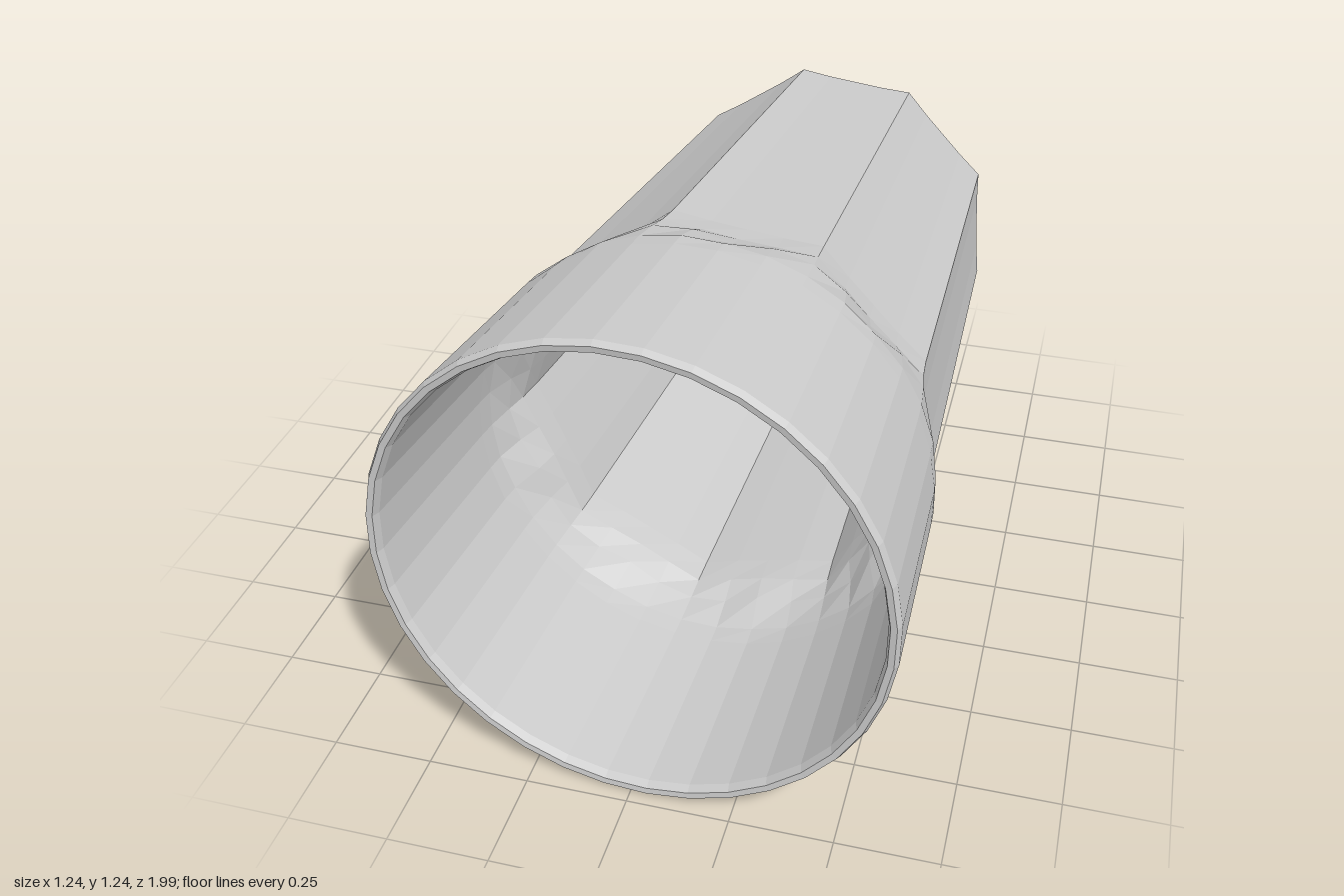
import * as THREE from 'three';

const SIDES = 9;          // flat panels around the lower body
const PER = 4;            // segments per panel
const N = SIDES * PER;
const PHASE = THREE.MathUtils.degToRad(24);
const STEP = (Math.PI * 2) / SIDES;

// Skin through rings of [z, radius, cut at panel middle, cut at ridge side]
// cut 0 = round, 1 = flat panel
function loft(profile) {
  const pos = [], index = [];
  for (const [z, r, mid, side = mid] of profile) {
    for (let i = 0; i < N; i++) {
      const k = i % PER;
      const off = (k / PER - 0.5) * STEP;
      const flat = Math.cos(STEP / 2) / Math.cos(off);
      const hollow = k === 0 ? 0 : 0.008;
      const cut = k === PER / 2 ? mid : side;
      const rr = r * (1 + (flat - hollow - 1) * cut);
      const a = PHASE + (i / N) * Math.PI * 2;
      pos.push(rr * Math.cos(a), rr * Math.sin(a), z);
    }
  }
  for (let j = 0; j < profile.length - 1; j++) {
    for (let i = 0; i < N; i++) {
      const a = j * N + i, b = j * N + ((i + 1) % N);
      index.push(a, b, b + N, a, b + N, a + N);
    }
  }
  const g = new THREE.BufferGeometry();
  g.setAttribute('position', new THREE.Float32BufferAttribute(pos, 3));
  g.setIndex(index);
  g.computeVertexNormals();
  return g;
}

export function createModel() {
  const group = new THREE.Group();
  group.name = 'tumbler';
  const material = new THREE.MeshStandardMaterial({ color: 0xcccccc, flatShading: true });
  const add = (name, profile) => {
    const mesh = new THREE.Mesh(loft(profile), material);
    mesh.name = name;
    cup.add(mesh);
  };

  // The cup lies on its side, slightly askew, mouth to the front
  const cup = new THREE.Group();
  cup.name = 'cup';
  cup.position.set(0.043, 0.612, 0);
  cup.rotation.set(-0.008, -0.045, 0);
  group.add(cup);

  // Underside with a shallow recess inside the foot
  add('base', [
    [-0.955, 0.001, 0], [-0.955, 0.34, 0.4], [-0.972, 0.39, 0.6],
    [-0.975, 0.44, 1], [-0.945, 0.475, 1],
  ]);

  // Panelled body, scalloped step, round collar
  add('outerWall', [
    [-0.945, 0.475, 1], [0.2, 0.553, 1], [0.27, 0.562, 1, 0.9],
    [0.33, 0.575, 0.8, 0.35], [0.41, 0.588, 0.08, 0], [0.46, 0.592, 0], [0.95, 0.623, 0],
  ]);

  // Thin rounded lip
  add('rim', [[0.95, 0.623, 0], [0.967, 0.615, 0], [0.965, 0.6, 0], [0.945, 0.592, 0]]);

  // Inside follows the outside
  add('innerWall', [
    [0.945, 0.592, 0], [0.46, 0.567, 0], [0.41, 0.563, 0.08, 0], [0.33, 0.55, 0.8, 0.35],
    [0.27, 0.538, 1, 0.9], [0.2, 0.53, 1], [-0.9, 0.455, 1],
  ]);

  // Inner floor
  add('floor', [
    [-0.9, 0.455, 1], [-0.93, 0.43, 1], [-0.925, 0.38, 0.6], [-0.915, 0.33, 0.4], [-0.92, 0.001, 0],
  ]);
  return group;
}
